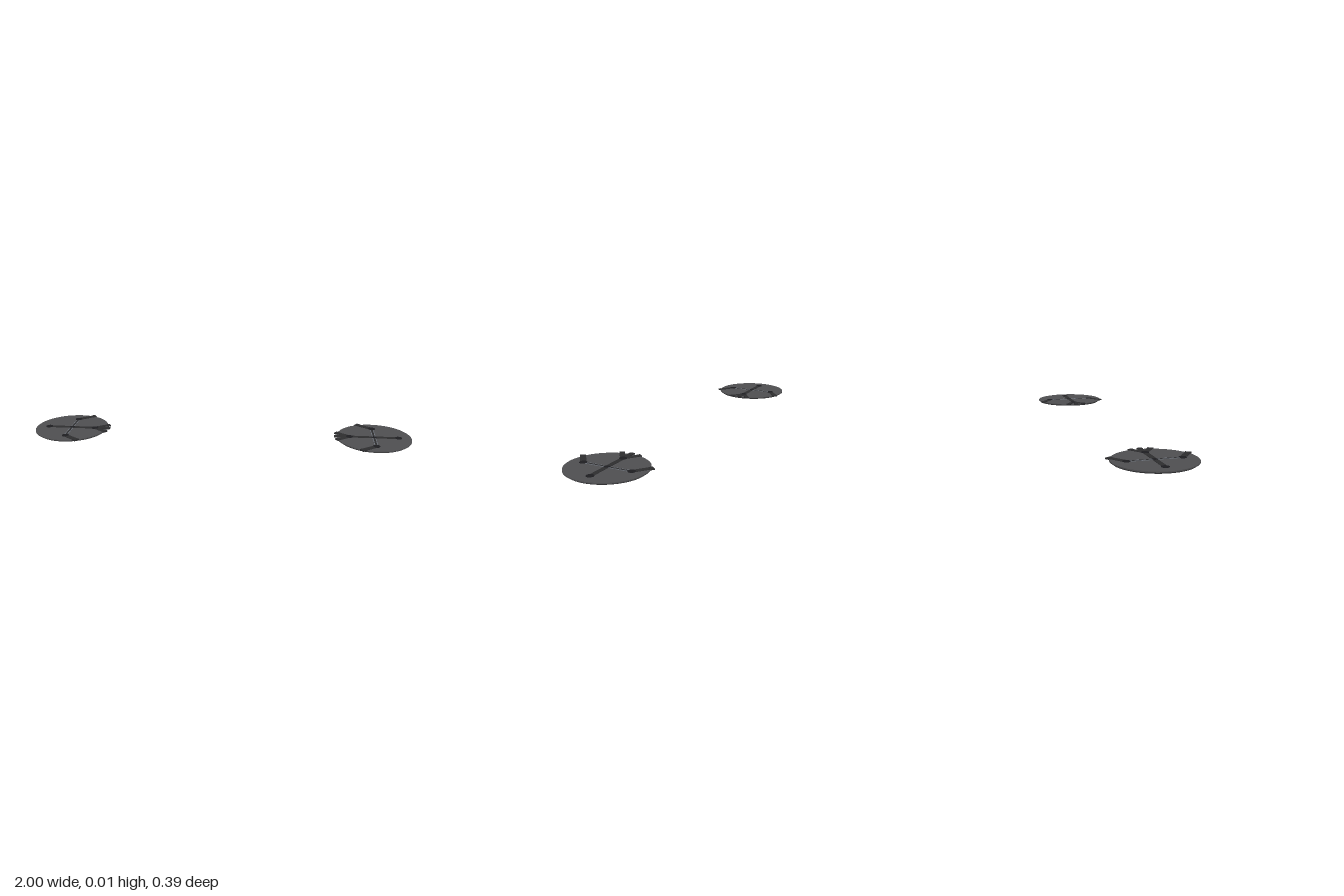
import * as THREE from 'three';

const material = (color) => new THREE.MeshStandardMaterial({ color });
const plateMat = material(0x505052);
const baseMat = material(0x2c2c2e);
const barMat = material(0x2e2e30);
const nodeMat = material(0x1e1e22);
const railMat = material(0x70757e);

const CENTRE = 0.807; // distance of each disc from the middle

function add(parent, name, geometry, mat, x, y, z) {
  const mesh = new THREE.Mesh(geometry, mat);
  mesh.name = name;
  mesh.position.set(x, y, z);
  parent.add(mesh);
  return mesh;
}

// Flat disc resting with its underside at y
function disc(parent, name, radius, y, height, mat, x = 0, z = 0, sides = 64) {
  return add(parent, name, new THREE.CylinderGeometry(radius, radius, height, sides), mat, x, y + height / 2, z);
}

// Flat bar lying between two points given as [x, z]
function bar(parent, name, a, b, width, y, height, mat) {
  const dx = b[0] - a[0], dz = b[1] - a[1];
  const mesh = add(parent, name, new THREE.BoxGeometry(Math.hypot(dx, dz), height, width), mat,
    (a[0] + b[0]) / 2, y + height / 2, (a[1] + b[1]) / 2);
  mesh.rotation.y = -Math.atan2(dz, dx);
  return mesh;
}

// Branch that overhangs the rim and carries a raised clip at its tip
function branch(parent, a, b, width) {
  bar(parent, 'branch', a, b, width, 0.0085, 0.0052, barMat);
  const t = 0.018 / Math.hypot(b[0] - a[0], b[1] - a[1]);
  const inner = [b[0] + (a[0] - b[0]) * t, b[1] + (a[1] - b[1]) * t];
  bar(parent, 'branchClip', inner, b, width, 0.0137, 0.0012, barMat);
}

// s = +1 for the left disc, -1 for the right; u points towards the middle
function buildDisc(s) {
  const g = new THREE.Group();
  g.name = s > 0 ? 'leftDisc' : 'rightDisc';
  g.position.x = s * CENTRE;
  const p = (u, z) => [-s * u, z];

  // Stepped plate
  disc(g, 'basePlate', 0.183, 0, 0.008, baseMat);
  disc(g, 'topPlate', 0.193, 0.007, 0.005, plateMat);

  // Crossing bars
  bar(g, 'longBar', p(-0.126, 0), p(0.126, 0), 0.024, 0.0115, 0.0018, barMat);
  bar(g, 'crossBar', p(0, -0.126), p(0, 0.126), 0.01, 0.0115, 0.0022, barMat);
  for (const k of [-1, 1]) {
    bar(g, 'crossBarRail', p(k * 0.007, -0.126), p(k * 0.007, 0.126), 0.004, 0.0115, 0.0019, railMat);
  }

  // Round joints
  for (const [u, z] of [[-0.126, 0], [0.126, 0], [0, -0.126], [0, 0.126], [0, 0]]) {
    disc(g, 'joint', u || z ? 0.018 : 0.013, 0.0115, 0.0026, nodeMat, -s * u, z, 20);
  }

  // Side branches and the three-way fan on the inner edge
  for (const k of [-1, 1]) {
    branch(g, p(0, k * 0.126), p(0.08, k * 0.186), 0.028);
    branch(g, p(0.126, 0), p(0.197, k * 0.051), 0.026);
  }
  branch(g, p(0.126, 0), p(0.207, 0), 0.024);
  return g;
}

export function createModel() {
  const model = new THREE.Group();
  model.name = 'discPair';
  model.add(buildDisc(1), buildDisc(-1));
  return model;
}
